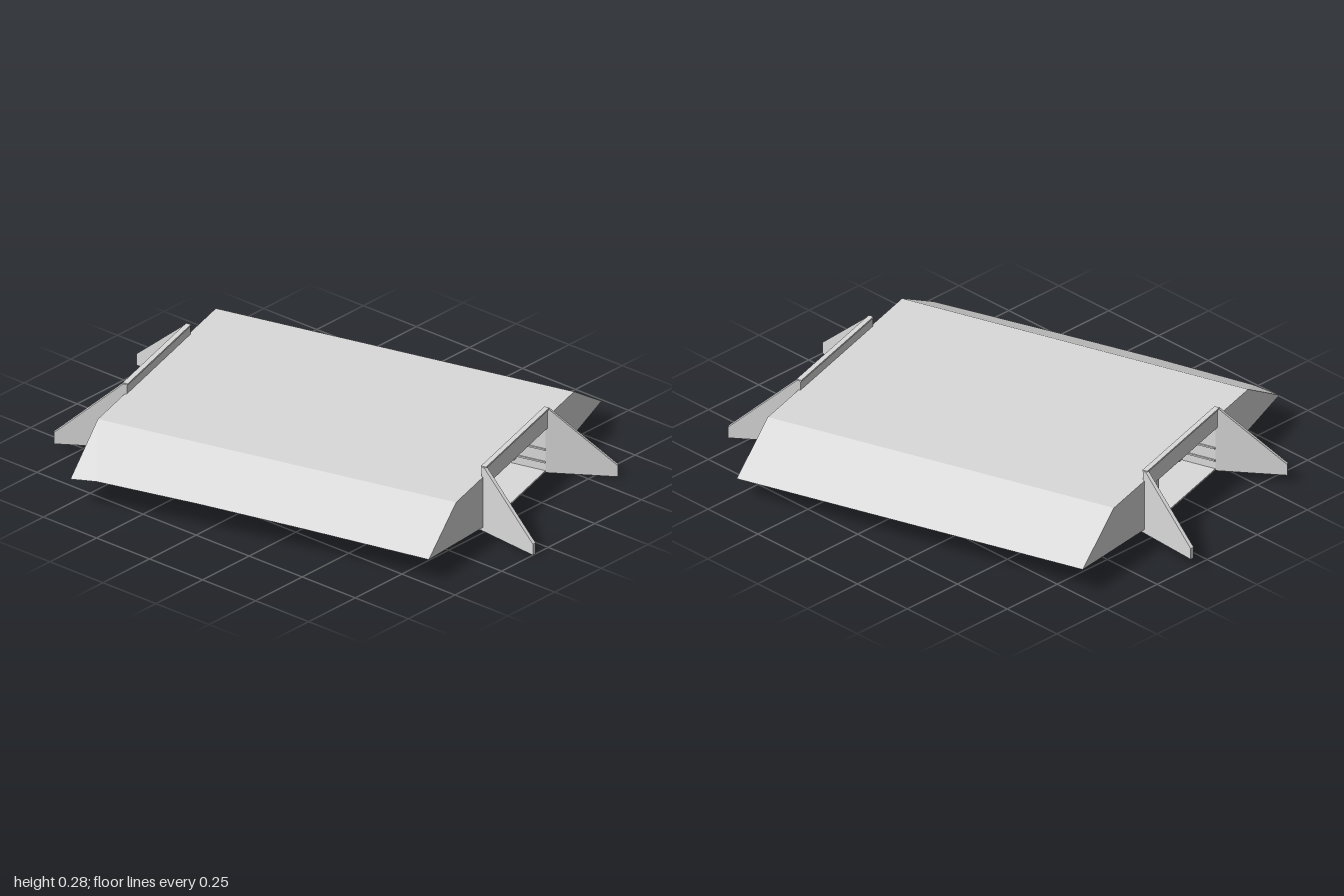
import * as THREE from 'three';

export function createModel() {
  const model = new THREE.Group();
  const grey = new THREE.MeshStandardMaterial({ color: 0xdadada, side: THREE.DoubleSide, flatShading: true });
  grey.name = 'concreteGrey';

  // everything falls gently along the barrel (local x)
  const fall = new THREE.Matrix4().makeShear(-0.018, 0, 0, 0, 0, 0);
  const add = (geo, name) => {
    geo.applyMatrix4(fall);
    const mesh = new THREE.Mesh(geo, grey);
    mesh.name = name;
    model.add(mesh);
  };
  // box given by its min and max corners
  const box = (name, x0, x1, y0, y1, z0, z1) =>
    add(new THREE.BoxGeometry(x1 - x0, y1 - y0, z1 - z0)
      .translate((x0 + x1) / 2, (y0 + y1) / 2, (z0 + z1) / 2), name);

  const END = 0.703, HALF = 0.26, BASE = 0.018, DECK = 0.232, CREST = 0.484, TOE = 0.709;

  // embankment skin: cross-sections (back toe, crests, front toe) along x
  const stations = [[-END, 0.096], [-0.6, 0.11], [-0.2, 0.115], [0.2, 0.113], [END, 0.107]];
  const rings = stations.map(([x, toe]) => [
    [x, 0.093, -TOE], [x, DECK, -CREST], [x, DECK, CREST], [x, toe, TOE],
  ]);
  const pos = [];
  for (let i = 0; i < rings.length - 1; i++) {
    for (let j = 0; j < 3; j++) {
      const a = rings[i][j], b = rings[i][j + 1], c = rings[i + 1][j + 1], d = rings[i + 1][j];
      pos.push(...a, ...b, ...c, ...a, ...c, ...d);
    }
  }
  const skin = new THREE.BufferGeometry();
  skin.setAttribute('position', new THREE.Float32BufferAttribute(pos, 3));
  skin.computeVertexNormals();
  add(skin, 'roadEmbankment');

  // barrel: floor and side walls with rails and posts on their inner faces
  box('barrelFloor', -END, END, BASE + 0.002, 0.026, -HALF, HALF);
  for (const s of [-1, 1]) {
    const z = s * (HALF - 0.006), inner = s * (HALF - 0.014);
    box('barrelWall', -END, END, BASE, DECK - 0.004, z - 0.006, z + 0.006);
    for (const y of [0.06, 0.11]) box('wallRail', -END, END, y - 0.003, y + 0.003, inner - 0.003, inner + 0.003);
    for (let i = 0; i < 4; i++) {
      const x = -0.45 + i * 0.3;
      box('wallPost', x - 0.004, x + 0.004, 0.026, 0.2, inner - 0.003, inner + 0.003);
    }
  }

  // columns down the middle of the barrel
  for (let i = 0; i < 9; i++) {
    const x = -0.6 + i * 0.15;
    box('column', x - 0.008, x + 0.008, 0.026, 0.195, -0.008, 0.008);
  }
  box('centreBeam', -END, END, 0.182, 0.198, -0.01, 0.01);

  // closely spaced beams carrying the deck
  for (let i = 0; i < 23; i++) {
    const x = -0.66 + i * 0.06;
    box('crossBeam', x - 0.008, x + 0.008, 0.198, 0.226, -HALF + 0.012, HALF - 0.012);
  }

  // the two mouths
  for (const end of [1, -1]) {
    const x = end * END;
    box('headwall', x - 0.007, x + 0.007, 0.195, 0.266, -HALF, HALF);
    box('headwallCap', x - 0.01, x + 0.01, 0.266, 0.2725, -HALF, HALF);

    for (const side of [1, -1]) {
      // end face of the fill beside the barrel
      const toe = side < 0 ? 0.093 : end > 0 ? 0.107 : 0.096;
      const face = new THREE.Shape([[HALF, 0.033], [TOE, toe], [CREST, DECK], [HALF, DECK]]
        .map(([z, y]) => new THREE.Vector2(side * z, y)));
      add(new THREE.ShapeGeometry(face).rotateY(-Math.PI / 2).translate(x, 0, 0), 'fillEndFace');

      // splayed wing wall
      const wing = new THREE.Shape([[0, BASE], [0.258, BASE], [0.258, 0.062], [0.248, 0.07], [0.012, 0.27], [0, 0.27]]
        .map(([s, y]) => new THREE.Vector2(s, y)));
      const geo = new THREE.ExtrudeGeometry(wing, { depth: 0.014, bevelEnabled: false });
      geo.translate(0, 0, -0.007);
      const angle = Math.atan2(side * 0.09, end * 0.245);
      geo.rotateY(-angle).translate(x - end * 0.003, 0, side * (HALF - 0.005));
      add(geo, 'wingWall');
    }
  }

  // skew of the crossing
  model.rotation.y = 0.275;
  const root = new THREE.Group();
  root.name = 'culvert';
  root.add(model);
  return root;
}
